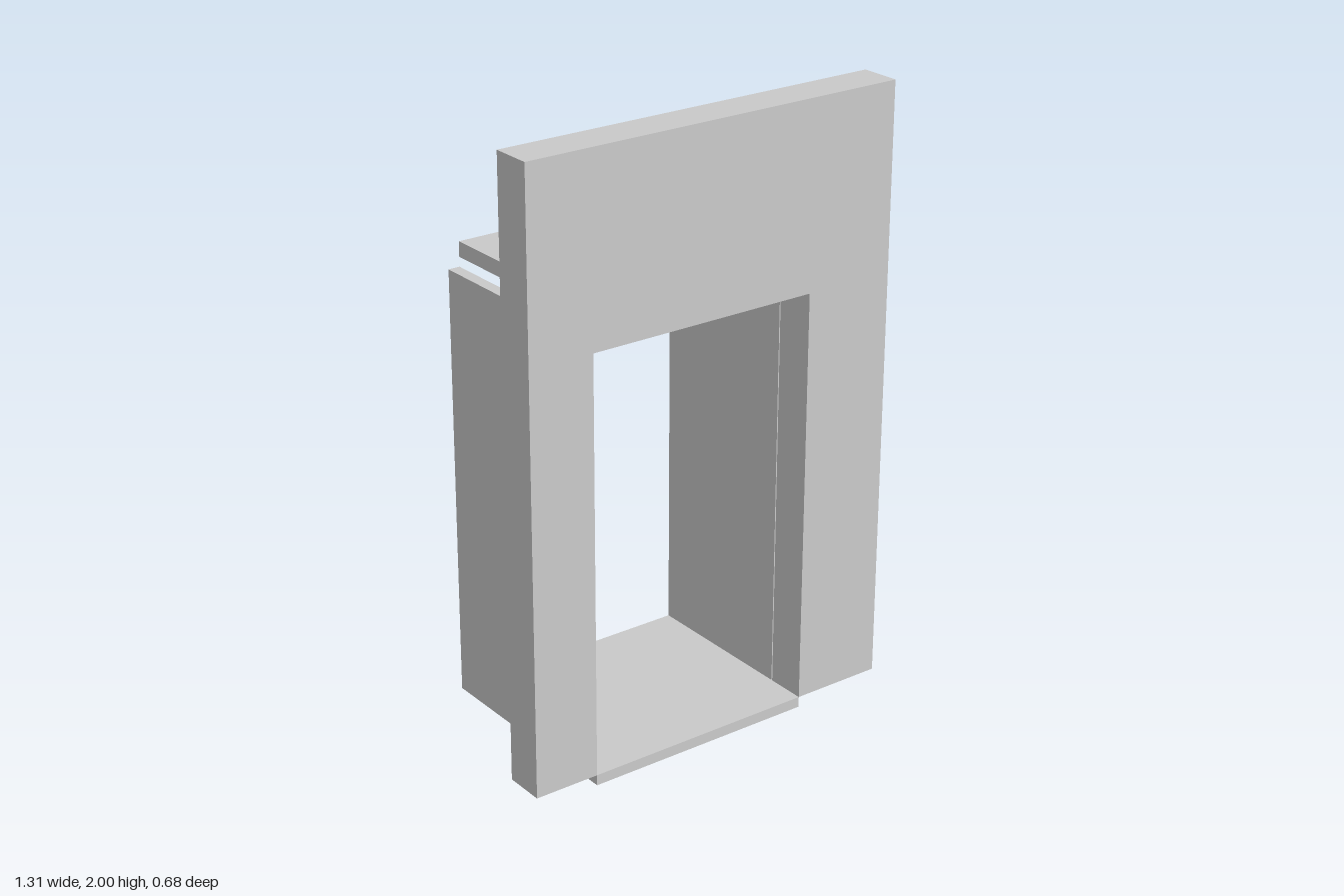
import * as THREE from 'three';

const material = new THREE.MeshStandardMaterial({ color: 0xcccccc, flatShading: true });

// Opening edges, shared by every part
const LEFT = 0.348, RIGHT = -0.437;
const FLOOR = 0.035, BACK = -0.342, FRONT = 0.342, WALL_BACK = 0.209;
const PANEL_FRONT = 0.205, PANEL_THICK = 0.039;

// Box given by its lower and upper corners
function slab(name, [x0, y0, z0], [x1, y1, z1]) {
  const geometry = new THREE.BoxGeometry(x1 - x0, y1 - y0, z1 - z0);
  geometry.translate((x0 + x1) / 2, (y0 + y1) / 2, (z0 + z1) / 2);
  const mesh = new THREE.Mesh(geometry, material);
  mesh.name = name;
  return mesh;
}

// Front wall with a doorway open at the bottom
function frontWall() {
  const outline = [
    [-0.655, FLOOR], [RIGHT, FLOOR], [RIGHT, 1.4], [LEFT, 1.4],
    [LEFT, FLOOR], [0.655, FLOOR], [0.655, 2], [-0.655, 2],
  ];
  const shape = new THREE.Shape(outline.map(([x, y]) => new THREE.Vector2(x, y)));
  const geometry = new THREE.ExtrudeGeometry(shape, { depth: FRONT - WALL_BACK, bevelEnabled: false });
  geometry.translate(0, 0, WALL_BACK);
  const mesh = new THREE.Mesh(geometry, material);
  mesh.name = 'frontWall';
  return mesh;
}

export function createModel() {
  const model = new THREE.Group();
  model.name = 'doorwayPassage';
  model.add(
    frontWall(),
    // Floor runs under the doorway to the back
    slab('floor', [RIGHT, 0, BACK], [LEFT, FLOOR, FRONT]),
    // Side panels stand just outside the opening
    slab('leftPanel', [LEFT, FLOOR, BACK], [LEFT + PANEL_THICK, 1.455, PANEL_FRONT]),
    slab('rightPanel', [RIGHT - PANEL_THICK, FLOOR, BACK], [RIGHT, 1.455, PANEL_FRONT]),
    // Ceiling floats slightly above the side panels
    slab('ceiling', [RIGHT, 1.486, BACK], [LEFT, 1.535, 0.207]),
  );
  return model;
}
